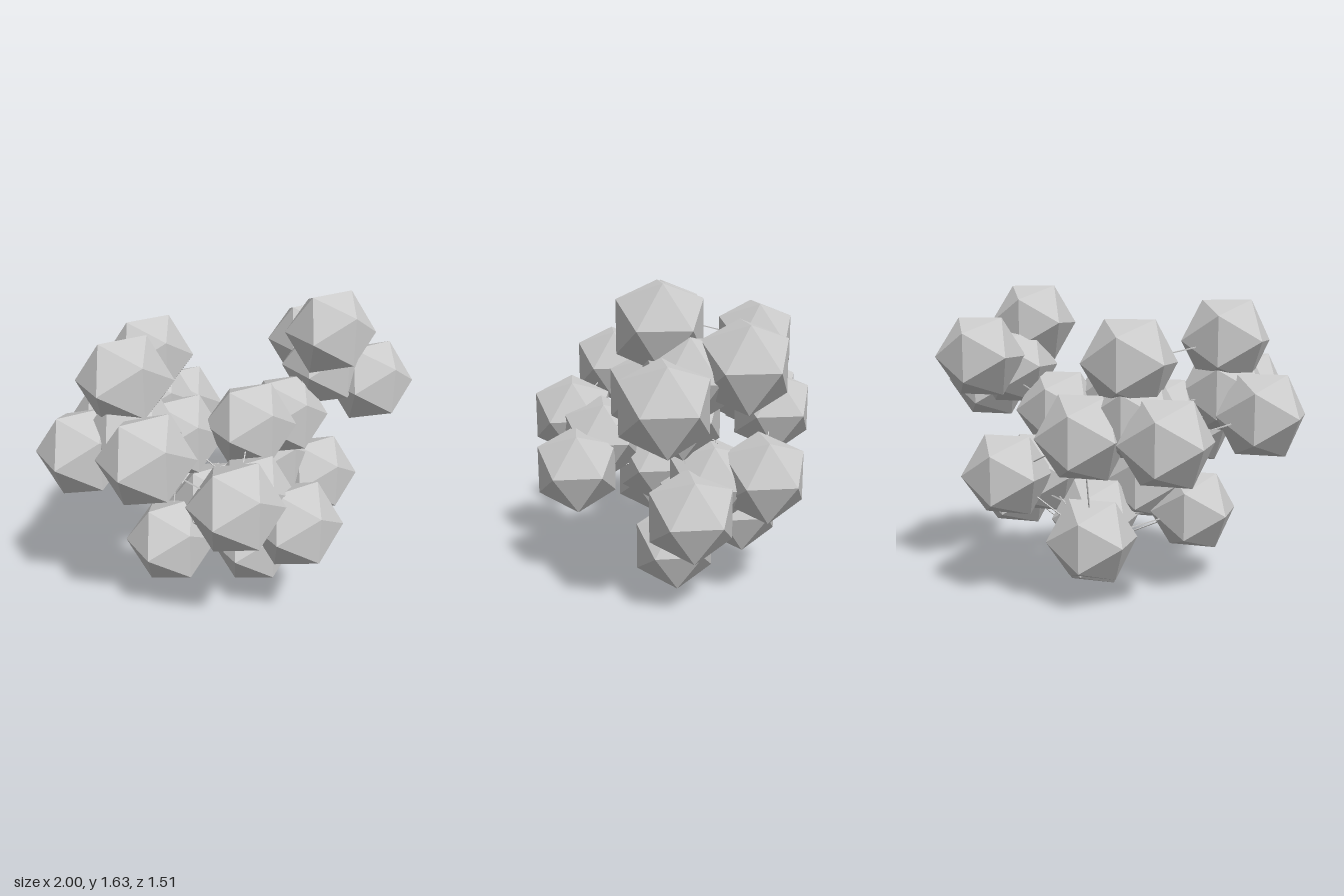
import * as THREE from 'three';

// Ball positions, grouped by the cluster they belong to
const CLUSTERS = {
  upperRightCluster: [[-0.6, 1.353, 0], [-0.65, 1.07, 0.297], [-0.8, 0.99, -0.09], [-0.59, 1.09, 0.04]],
  backCluster: [[-0.44, 0.9, -0.556], [-0.02, 0.905, -0.525], [-0.235, 1.262, -0.472], [-0.24, 1.0, -0.425]],
  upperLeftCluster: [[0.517, 1.433, 0.14], [0.797, 1.11, 0.153], [0.664, 1.262, -0.228], [0.585, 1.203, 0.026]],
  centreChain: [[-0.28, 0.95, -0.07], [0.02, 1.027, 0.145], [0.32, 0.967, 0.022]],
  leftCluster: [[0.37, 0.636, -0.126], [0.45, 0.667, -0.378], [0.572, 0.524, 0]],
  bottomCluster: [[0.064, 0.41, -0.11], [0.13, 0.204, 0.026], [0, 0.352, -0.346]],
  frontCluster: [[-0.16, 0.59, 0.08], [-0.424, 0.444, 0.08], [-0.13, 0.753, 0.387], [-0.318, 0.838, 0.547], [0.046, 0.626, 0.535]],
};
const BALL_RADIUS = 0.238;
const LINK_RADIUS = 0.004;
const LINK_REACH = 0.61;

export function createModel() {
  const model = new THREE.Group();
  model.name = 'ballCluster';
  const material = new THREE.MeshStandardMaterial({ color: 0xcccccc, flatShading: true });
  const ball = new THREE.IcosahedronGeometry(BALL_RADIUS, 0);
  const points = [];

  // Faceted balls
  for (const [name, centres] of Object.entries(CLUSTERS)) {
    const cluster = new THREE.Group();
    cluster.name = name;
    for (const centre of centres) {
      const mesh = new THREE.Mesh(ball, material);
      mesh.name = 'ball';
      mesh.position.set(...centre);
      points.push(mesh.position);
      cluster.add(mesh);
    }
    model.add(cluster);
  }

  // Thin rods between neighbouring balls
  const rod = new THREE.CylinderGeometry(LINK_RADIUS, LINK_RADIUS, 1, 4);
  const links = new THREE.Group();
  links.name = 'links';
  const up = new THREE.Vector3(0, 1, 0);
  points.forEach((a, i) => {
    for (const b of points.slice(i + 1)) {
      const span = b.clone().sub(a);
      const length = span.length();
      if (length > LINK_REACH) continue;
      const link = new THREE.Mesh(rod, material);
      link.name = 'link';
      link.position.copy(a).lerp(b, 0.5);
      link.scale.y = length;
      link.quaternion.setFromUnitVectors(up, span.normalize());
      links.add(link);
    }
  });
  model.add(links);
  return model;
}
